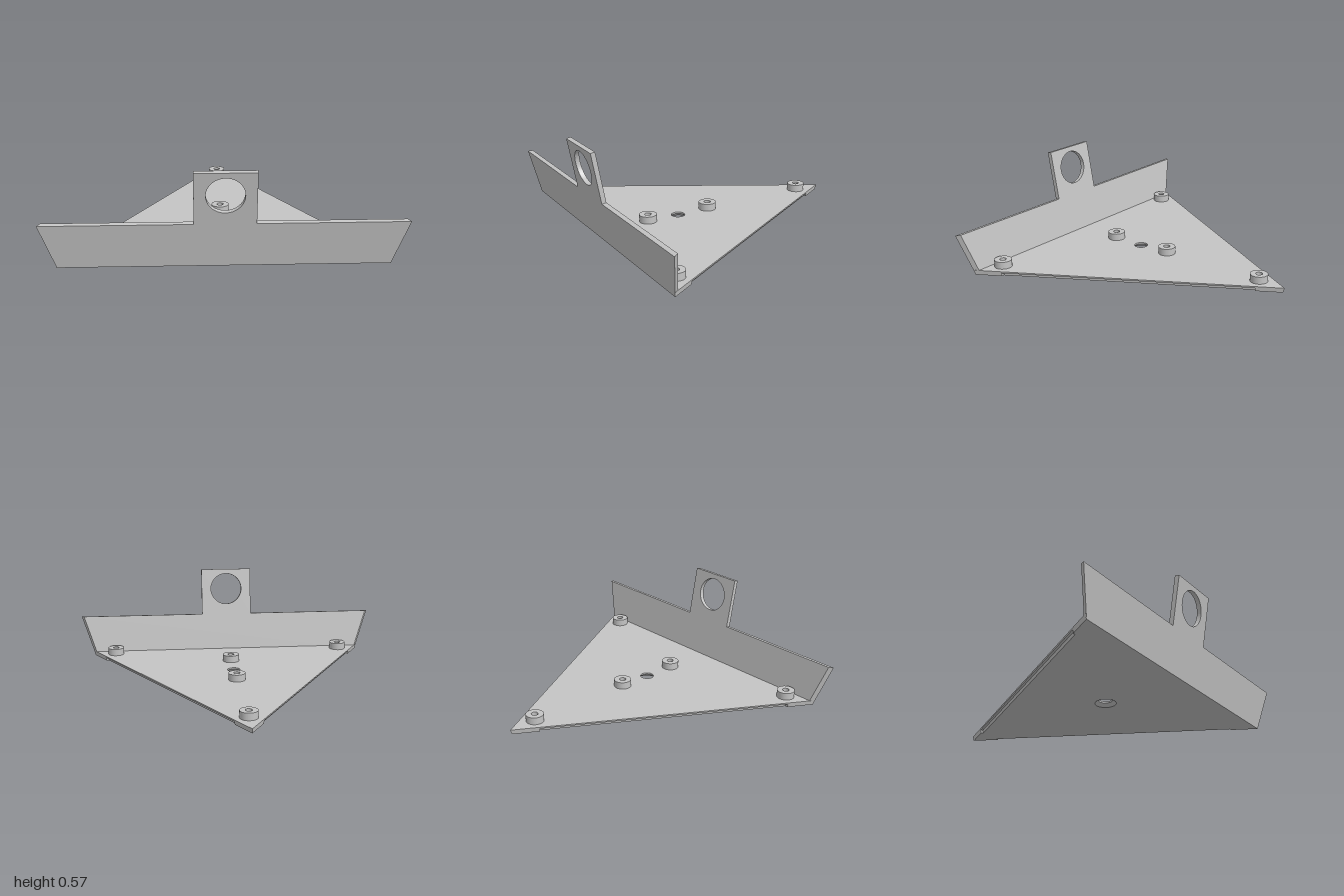
import * as THREE from 'three';

const steel = new THREE.MeshStandardMaterial({ color: 0xc4c4c4 });
steel.name = 'light grey';

const APEX = -0.848, FRONT = 0.742, SLOPE = 0.578, TOP = 0.03, SPLIT = 0.02;
const HOLE_Z = 0.213, HOLE_R = 0.041, SINK_R = 0.063;
const half = z => (z - APEX) * SLOPE;

function circleHole(shape, x, y, r) {
  const hole = new THREE.Path();
  hole.absarc(x, y, r, 0, Math.PI * 2, true);
  shape.holes.push(hole);
}

// One layer of the triangular plate; recess insets the long edges between their ends
function plateLayer(name, y0, y1, recess) {
  const right = [[half(FRONT), FRONT]];
  if (recess) {
    right.push([half(0.6), 0.6], [half(0.6) - recess, 0.6],
      [half(-0.7) - recess, -0.7], [half(-0.7), -0.7]);
  }
  const left = right.map(([x, z]) => [-x, z]).reverse();
  const shape = new THREE.Shape([...right, [0, APEX], ...left].map(([x, z]) => new THREE.Vector2(x, -z)));
  circleHole(shape, 0, -HOLE_Z, HOLE_R);
  const geo = new THREE.ExtrudeGeometry(shape, { depth: y1 - y0, bevelEnabled: false, curveSegments: 24 });
  geo.rotateX(-Math.PI / 2).translate(0, y0, 0);
  const p = geo.attributes.position;
  for (let i = 0; i < p.count; i++) {
    const x = p.getX(i), y = p.getY(i), z = p.getZ(i);
    const t = (TOP - y) / TOP;
    if (Math.hypot(x, z - HOLE_Z) < 0.05) {
      // Countersink: the hole widens towards the underside
      const k = 1 + (SINK_R / HOLE_R - 1) * Math.max(0, 1 - y / SPLIT);
      p.setX(i, x * k);
      p.setZ(i, HOLE_Z + (z - HOLE_Z) * k);
    } else if (Math.abs(x) > 0.05) {
      // Long edges lean inwards towards the underside
      p.setX(i, x - Math.sign(x) * 0.0058 * t);
    } else {
      p.setZ(i, z + 0.01 * t);
    }
  }
  geo.computeVertexNormals();
  const layer = new THREE.Mesh(geo, steel);
  layer.name = name;
  return layer;
}

// Leaning front wall with a raised tab and a round opening
function frontWall() {
  const right = [[0.912, 0], [1, 0.268], [0.169, 0.268], [0.169, 0.578]];
  const left = right.map(([x, y]) => [-x, y]).reverse();
  const shape = new THREE.Shape([...right, ...left].map(([x, y]) => new THREE.Vector2(x, y)));
  circleHole(shape, 0, 0.442, 0.105);
  const geo = new THREE.ExtrudeGeometry(shape, { depth: 0.028, bevelEnabled: false, curveSegments: 32 });
  geo.translate(0, 0, -0.028);
  // Mitred ends: the inner face is a little narrower
  const p = geo.attributes.position;
  for (let i = 0; i < p.count; i++) {
    const x = p.getX(i);
    if (Math.abs(x) > 0.5 && p.getZ(i) < -0.01) p.setX(i, x - Math.sign(x) * 0.017);
  }
  geo.computeVertexNormals();
  const wall = new THREE.Mesh(geo, steel);
  wall.position.z = FRONT;
  wall.rotation.x = 0.182;
  wall.name = 'frontWall';
  return wall;
}

// Round standoff with a bore
function standoff(x, z) {
  const shape = new THREE.Shape();
  shape.absarc(0, 0, 0.053, 0, Math.PI * 2, false);
  circleHole(shape, 0, 0, 0.02);
  const geo = new THREE.ExtrudeGeometry(shape, { depth: 0.044, bevelEnabled: false, curveSegments: 24 });
  geo.rotateX(-Math.PI / 2);
  const mesh = new THREE.Mesh(geo, steel);
  mesh.position.set(x, TOP, z);
  mesh.name = 'standoff';
  return mesh;
}

export function createModel() {
  const model = new THREE.Group();
  model.name = 'triangularBracket';

  const plate = new THREE.Group();
  plate.name = 'basePlate';
  plate.add(plateLayer('plateUnderside', 0, SPLIT, 0.016), plateLayer('plateTop', SPLIT, TOP, 0));
  model.add(plate, frontWall());

  for (const [x, z] of [[0, -0.674], [0, 0.005], [0, 0.419], [0.767, 0.656], [-0.767, 0.656]]) {
    model.add(standoff(x, z));
  }
  return model;
}
